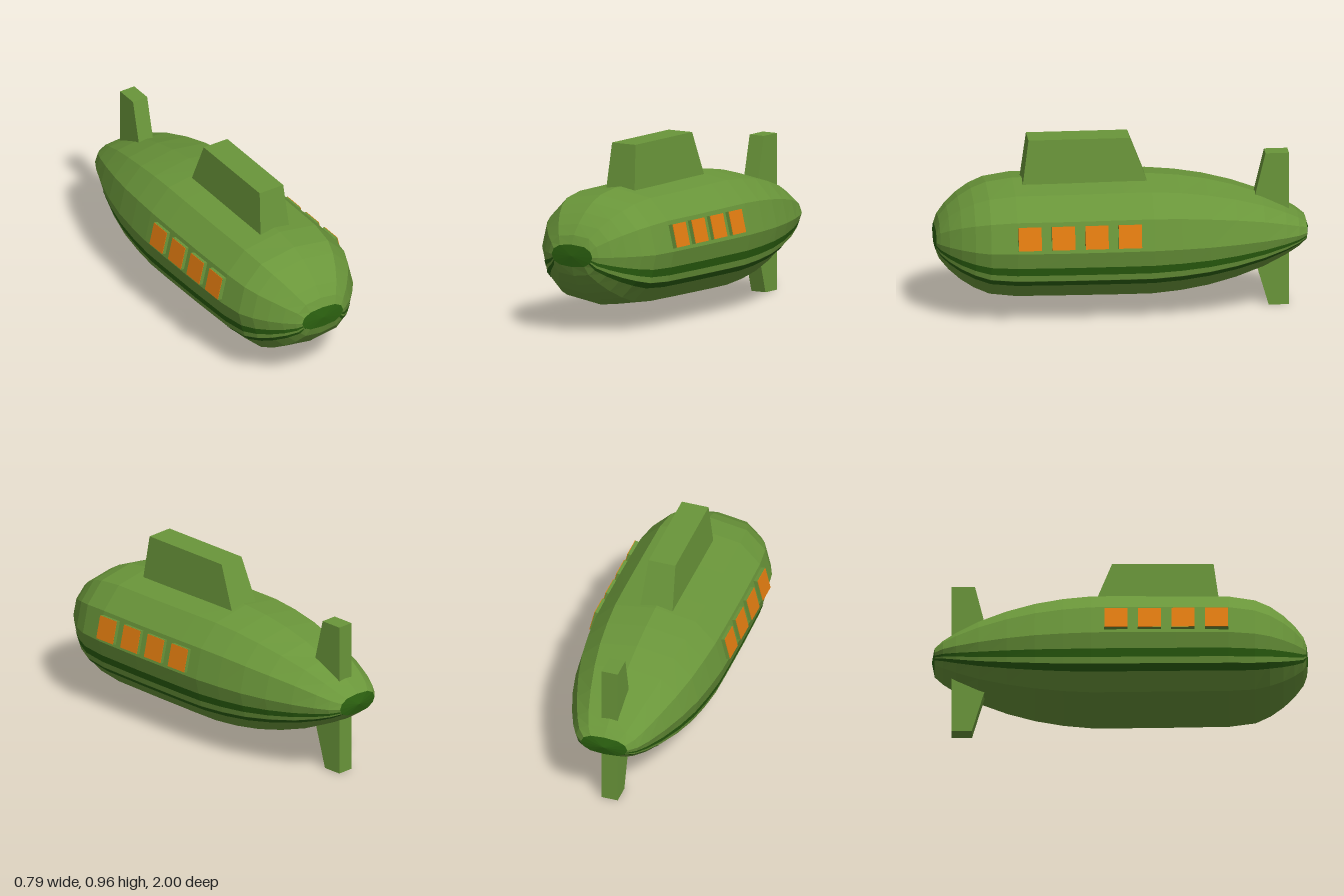
import * as THREE from 'three';

const green = new THREE.MeshStandardMaterial({ color: 0x6a963a });
const darkGreen = new THREE.MeshStandardMaterial({ color: 0x2c6210 });
const orange = new THREE.MeshStandardMaterial({ color: 0xe27c10 });
green.name = 'hullGreen';
darkGreen.name = 'darkGreen';
orange.name = 'windowOrange';

// Hull stations from bow to stern: z, half width, half height, centre height
const RINGS = [
  [0.993, 0.13, 0.06, 0.42], [0.975, 0.16, 0.11, 0.42], [0.93, 0.215, 0.165, 0.42],
  [0.87, 0.27, 0.218, 0.42], [0.8, 0.32, 0.262, 0.42], [0.72, 0.355, 0.295, 0.419],
  [0.58, 0.375, 0.313, 0.421], [0.3, 0.38, 0.315, 0.42], [0, 0.38, 0.318, 0.42],
  [-0.15, 0.378, 0.318, 0.42], [-0.3, 0.365, 0.305, 0.42], [-0.45, 0.345, 0.28, 0.42],
  [-0.6, 0.31, 0.242, 0.42], [-0.75, 0.262, 0.19, 0.42], [-0.87, 0.213, 0.132, 0.42],
  [-0.94, 0.175, 0.09, 0.42], [-0.985, 0.13, 0.055, 0.42],
];

// Unit section, clockwise seen from the front
const SIDE = [[0, 1], [0.6, 0.885], [0.895, 0.52], [1, 0], [0.895, -0.52], [0.6, -0.885], [0, -1]];
const mirror = (pts) => pts.map(([x, y]) => [-x, y]).reverse();
const SECTION = [...SIDE, ...mirror(SIDE).slice(1)];

function flatMesh(geometry, material, name) {
  const g = geometry.index ? geometry.toNonIndexed() : geometry;
  g.computeVertexNormals();
  const mesh = new THREE.Mesh(g, material);
  mesh.name = name;
  return mesh;
}

// Skin an open or closed section along a list of stations
function loft(rings, section, grow = 1) {
  const pos = [], idx = [], n = section.length;
  for (const [z, w, h, cy] of rings)
    for (const [x, y] of section) pos.push(x * w * grow, cy + y * h * grow, z);
  for (let i = 0; i < rings.length - 1; i++)
    for (let j = 0; j < n - 1; j++) {
      const a = i * n + j, c = a + n;
      idx.push(a, a + 1, c, a + 1, c + 1, c);
    }
  const g = new THREE.BufferGeometry();
  g.setAttribute('position', new THREE.Float32BufferAttribute(pos, 3));
  g.setIndex(idx);
  return g;
}

// Box tapering from a bottom rectangle to a top one: [y, half width, zBack, zFront]
function taperedBox(bottom, top) {
  const g = new THREE.BoxGeometry(1, 1, 1);
  const p = g.attributes.position;
  for (let i = 0; i < p.count; i++) {
    const [y, w, back, front] = p.getY(i) > 0 ? top : bottom;
    p.setXYZ(i, Math.sign(p.getX(i)) * w, y, p.getZ(i) > 0 ? front : back);
  }
  return g;
}

export function createModel() {
  const model = new THREE.Group();
  model.name = 'submarine';

  // Hull and its dark end caps
  model.add(flatMesh(loft(RINGS, SECTION), green, 'hull'));
  const bow = RINGS[0], stern = RINGS[RINGS.length - 1];
  model.add(flatMesh(loft([[1, 0, 0, 0.42], bow], SECTION), darkGreen, 'bowCap'));
  model.add(flatMesh(loft([stern, [-1, 0, 0, 0.42]], SECTION), darkGreen, 'sternCap'));

  // Two painted stripes along each lower flank
  const stripes = { upperStripe: [[0.95, -0.27], [0.917, -0.41]], lowerStripe: [[0.895, -0.52], [0.815, -0.62]] };
  for (const [name, pts] of Object.entries(stripes)) {
    model.add(flatMesh(loft(RINGS, pts, 1.006), darkGreen, name + 'Left'));
    model.add(flatMesh(loft(RINGS, mirror(pts), 1.006), darkGreen, name + 'Right'));
  }

  // Tower and tail fins
  model.add(flatMesh(taperedBox([0.68, 0.093, -0.15, 0.535], [0.96, 0.075, -0.042, 0.498]), green, 'tower'));
  model.add(flatMesh(taperedBox([0.45, 0.045, -0.895, -0.675], [0.843, 0.045, -0.895, -0.77]), green, 'upperFin'));
  model.add(flatMesh(taperedBox([0, 0.045, -0.895, -0.787], [0.4, 0.045, -0.895, -0.67]), green, 'lowerFin'));

  // Four raised windows on each side, leaning with the hull
  for (const side of [1, -1])
    for (const z of [0.517, 0.338, 0.16, -0.018]) {
      const porthole = new THREE.Group();
      porthole.name = side > 0 ? 'windowLeft' : 'windowRight';
      const frame = flatMesh(new THREE.BoxGeometry(0.034, 0.128, 0.125), green, 'windowFrame');
      const pane = flatMesh(new THREE.BoxGeometry(0.004, 0.126, 0.123), orange, 'windowPane');
      frame.position.x = -side * 0.007;
      pane.position.x = side * 0.011;
      porthole.add(frame, pane);
      porthole.position.set(side * 0.369, 0.503, z);
      porthole.rotation.z = side * 0.235;
      model.add(porthole);
    }

  return model;
}
